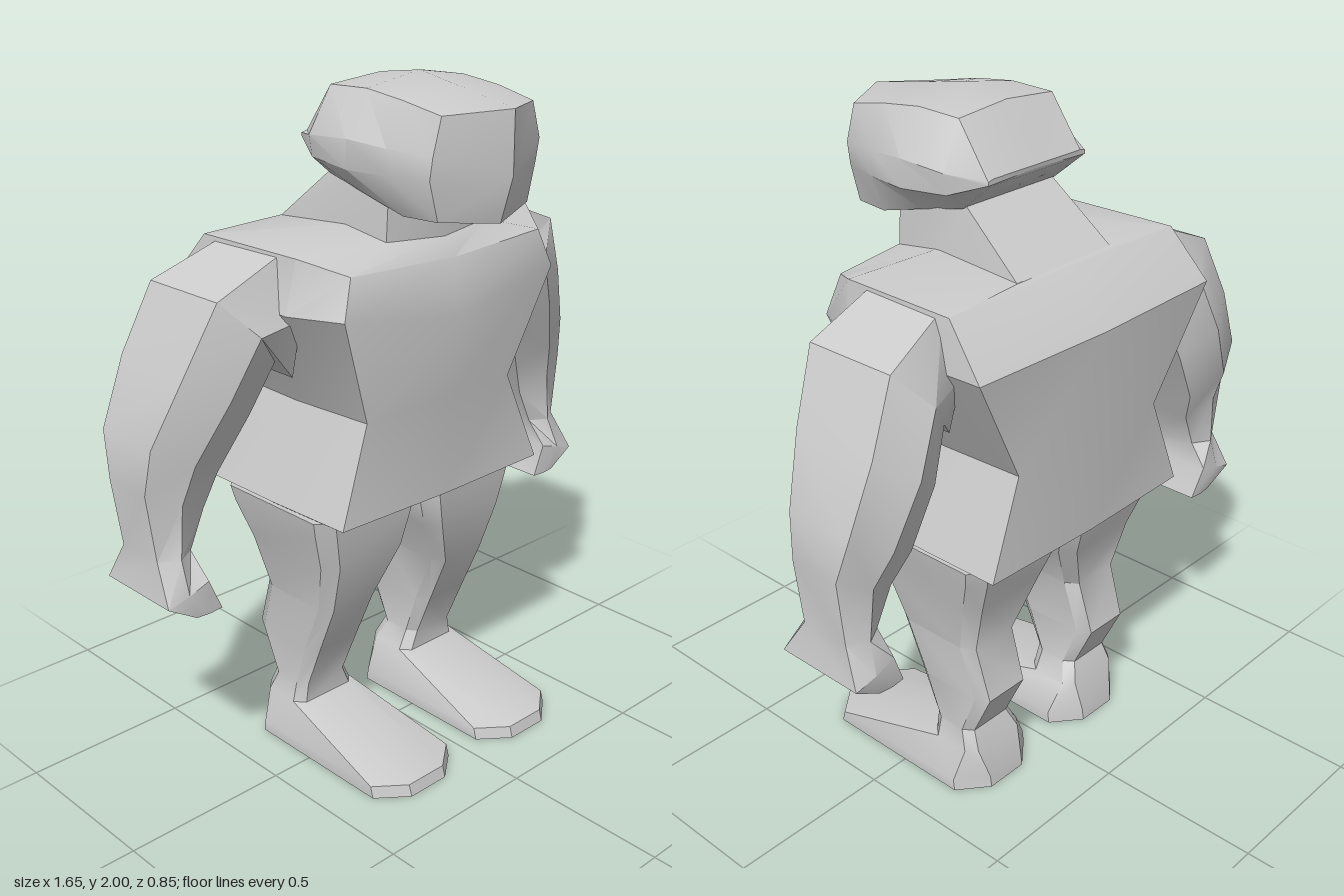
import * as THREE from 'three';
import { toCreasedNormals } from 'three/addons/utils/BufferGeometryUtils.js';

const material = new THREE.MeshStandardMaterial({ color: 0xcccccc });

// Skin a list of equal-length rings of [x, y, z]; both ends close in a fan (tip = optional fan centre of the first ring).
function loft(name, rings, tip) {
  const n = rings[0].length;
  const centre = (r) => [0, 1, 2].map((k) => r.reduce((s, p) => s + p[k], 0) / n);
  const pts = [...rings.flat(), tip || centre(rings[0]), centre(rings[rings.length - 1])];
  const a = rings.length * n, tris = [];
  for (let j = 0; j < n; j++) {
    const k = (j + 1) % n, end = (rings.length - 1) * n;
    for (let i = 0; i < rings.length - 1; i++) {
      const r = i * n, s = r + n;
      tris.push([r + j, r + k, s + k], [r + j, s + k, s + j]);
    }
    tris.push([a, k, j], [a + 1, end + j, end + k]);
  }
  // The sign of the enclosed volume tells whether the faces point outward.
  const v = pts.map((p) => new THREE.Vector3(...p));
  const cross = new THREE.Vector3();
  const volume = tris.reduce((s, t) => s + v[t[0]].dot(cross.crossVectors(v[t[1]], v[t[2]])), 0);
  if (volume < 0) tris.forEach((t) => t.reverse());
  const geometry = new THREE.BufferGeometry();
  geometry.setAttribute('position', new THREE.Float32BufferAttribute(pts.flat(), 3));
  geometry.setIndex(tris.flat());
  const mesh = new THREE.Mesh(toCreasedNormals(geometry, 0.55), material);
  mesh.name = name;
  return mesh;
}

// Complete a half ring whose first and last points lie on x = 0.
const symmetric = (half) => [...half, ...half.slice(1, -1).reverse().map(([x, y, z]) => [-x, y, z])];

function makeTorso() {
  // Each half ring: front centre, front corner, side, back corner, back centre.
  return loft('torso', [
    [[0, 0.79, 0.12], [0.33, 0.79, 0.11], [0.36, 0.79, -0.1], [0.33, 0.79, -0.32], [0, 0.79, -0.32]],
    [[0, 0.82, 0.2], [0.39, 0.82, 0.19], [0.4, 0.82, -0.1], [0.4, 0.82, -0.39], [0, 0.82, -0.4]],
    [[0, 1.12, 0.21], [0.28, 1.1, 0.17], [0.3, 1.1, -0.1], [0.29, 1.1, -0.38], [0, 1.12, -0.41]],
    [[0, 1.36, 0.25], [0.4, 1.42, 0.22], [0.47, 1.42, 0.07], [0.47, 1.43, -0.41], [0, 1.43, -0.425]],
    [[0, 1.52, 0.22], [0.36, 1.53, 0.2], [0.44, 1.57, 0.08], [0.45, 1.57, -0.29], [0, 1.575, -0.29]],
    [[0, 1.57, 0.18], [0.19, 1.58, 0.15], [0.2, 1.605, 0], [0.19, 1.58, -0.28], [0, 1.58, -0.28]],
  ].map(symmetric));
}

function makeNeck() {
  return loft('neck', [
    [[0, 1.55, 0.18], [0.19, 1.55, 0.15], [0.2, 1.57, 0], [0.19, 1.57, -0.29], [0, 1.57, -0.29]],
    [[0, 1.71, 0.18], [0.18, 1.71, 0.15], [0.19, 1.72, 0], [0.17, 1.74, -0.08], [0, 1.74, -0.08]],
  ].map(symmetric));
}

function makeHead() {
  // Rings run front to back; each half ring goes from the crown down to the jaw.
  return loft('head', [
    [[0, 1.94, 0.42], [0.17, 1.93, 0.33], [0.2, 1.83, 0.33], [0.2, 1.77, 0.32], [0.17, 1.66, 0.32], [0, 1.64, 0.38]],
    [[0, 1.975, 0.22], [0.18, 1.955, 0.2], [0.235, 1.84, 0.2], [0.235, 1.77, 0.2], [0.185, 1.66, 0.21], [0, 1.65, 0.2]],
    [[0, 2, 0.08], [0.18, 1.97, 0.07], [0.255, 1.85, 0.07], [0.255, 1.77, 0.07], [0.19, 1.7, 0.06], [0, 1.69, 0.06]],
    [[0, 1.98, -0.07], [0.18, 1.965, -0.07], [0.25, 1.84, -0.08], [0.24, 1.78, -0.08], [0.18, 1.73, -0.08], [0, 1.73, -0.08]],
    [[0, 1.83, -0.18], [0.17, 1.83, -0.18], [0.19, 1.825, -0.18], [0.19, 1.815, -0.18], [0.17, 1.81, -0.175], [0, 1.81, -0.175]],
  ].map(symmetric), [0, 1.77, 0.42]);
}

function makeArm(name, side) {
  // Outer x, y; inner x, y; front z, back z, from shoulder to fingertips.
  const sections = [
    [0.42, 1.57, 0.4, 1.22, 0.06, -0.29],
    [0.64, 1.48, 0.46, 1.28, 0.07, -0.34],
    [0.73, 1.29, 0.52, 1.14, 0.03, -0.36],
    [0.81, 1.1, 0.6, 0.98, -0.03, -0.34],
    [0.825, 0.97, 0.64, 0.88, -0.06, -0.29],
    [0.8, 0.77, 0.69, 0.77, -0.06, -0.285],
    [0.82, 0.66, 0.685, 0.7, -0.02, -0.31],
    [0.73, 0.605, 0.645, 0.605, -0.02, -0.3],
  ];
  return loft(name, sections.map(([xo, yo, xi, yi, zf, zb], i) => {
    const flat = i > 5 ? 0.97 : 0.7;
    // u runs from inner to outer edge, w from back to front.
    const at = (u, w) => [side * (xi + (xo - xi) * u), yi + (yo - yi) * u, (zf + zb) / 2 + w * (zf - zb) / 2];
    return [at(1, flat), at(1, -flat), at(0.5, -1), at(0, -flat), at(0, flat), at(0.5, 1)];
  }));
}

function makeLeg(name, side) {
  // Height, inner x, outer x, front z, back z, corner depth, from hip to sole.
  const sections = [
    [0.81, 0.02, 0.4, 0.12, -0.33, 0.04],
    [0.76, 0.015, 0.39, 0.115, -0.32, 0.04],
    [0.65, 0.05, 0.36, 0.1, -0.28, 0.04],
    [0.49, 0.13, 0.33, 0.05, -0.24, 0.04],
    [0.33, 0.135, 0.325, -0.02, -0.29, 0.04],
    [0.19, 0.14, 0.32, -0.08, -0.225, 0.03],
    [0.13, 0.11, 0.335, -0.08, -0.25, 0.03],
    [0.035, 0.06, 0.37, 0.34, -0.275, 0.07],
    [0, 0.06, 0.37, 0.35, -0.28, 0.07],
  ];
  return loft(name, sections.map(([y, xi, xo, zf, zb, c]) => {
    const inset = (xo - xi) * (c > 0.05 ? 0.28 : 0.12);
    return [
      [xi + inset, zf], [xo - inset, zf], [xo, zf - c], [xo, zb + c],
      [xo - inset, zb], [xi + inset, zb], [xi, zb + c], [xi, zf - c],
    ].map(([x, z]) => [side * x, y, z]);
  }));
}

export function createModel() {
  const figure = new THREE.Group();
  figure.name = 'figure';
  figure.add(makeTorso(), makeNeck(), makeHead());
  for (const [label, side] of [['left', 1], ['right', -1]]) {
    figure.add(makeArm(label + 'Arm', side), makeLeg(label + 'Leg', side));
  }
  return figure;
}
